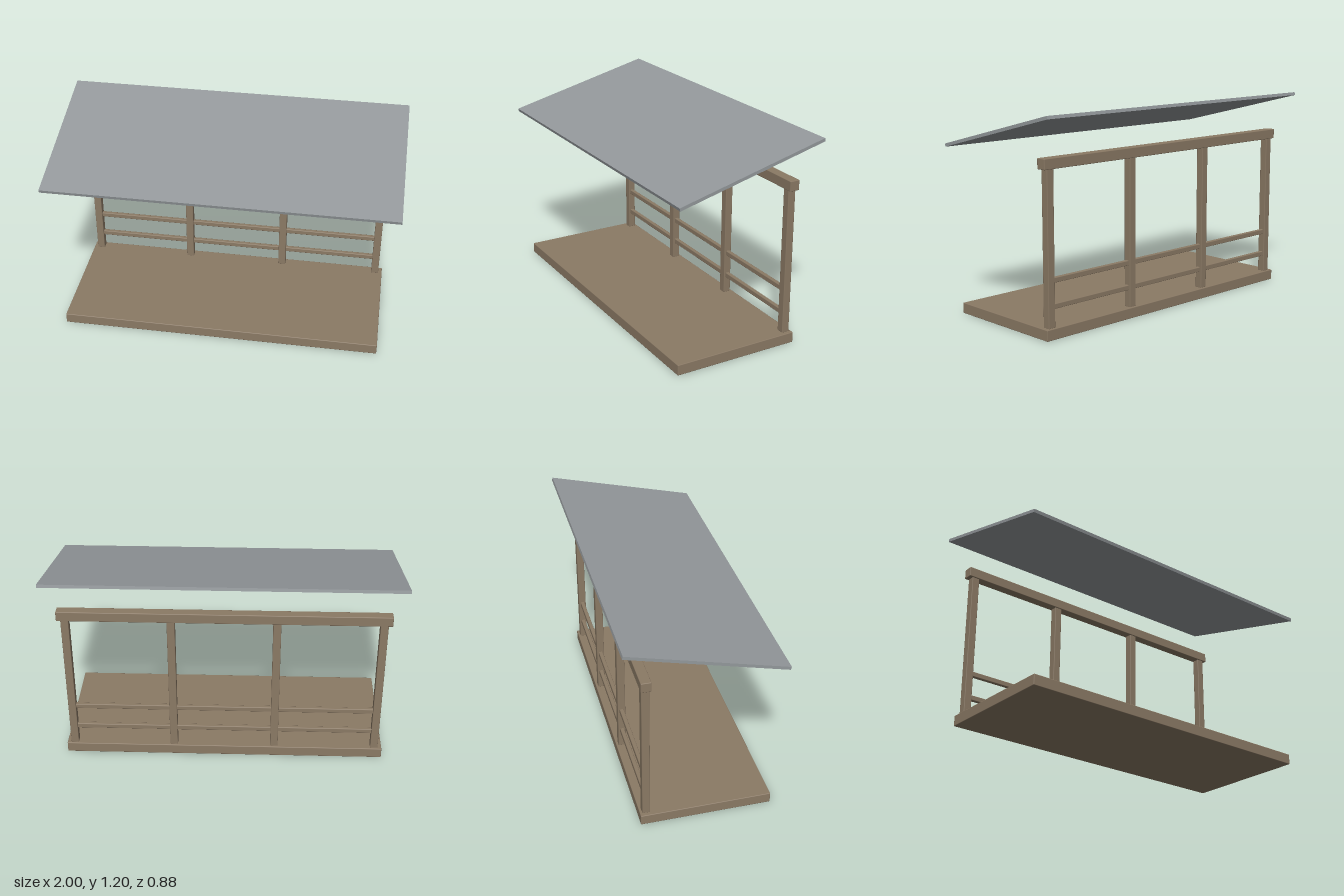
import * as THREE from 'three';
import { RoundedBoxGeometry } from 'three/addons/geometries/RoundedBoxGeometry.js';

export function createModel() {
  const wood = new THREE.MeshStandardMaterial({ name: 'weathered wood', color: 0x8b7a65 });
  const metal = new THREE.MeshStandardMaterial({ name: 'grey roofing', color: 0x94999c });
  const group = new THREE.Group();
  group.name = 'openShelter';

  // timber with slightly eased edges, placed by its centre
  function timber(name, w, h, d, x, y, z) {
    const mesh = new THREE.Mesh(new RoundedBoxGeometry(w, h, d, 1, 0.004), wood);
    mesh.name = name;
    mesh.position.set(x, y, z);
    group.add(mesh);
  }

  const postZ = -0.307;
  const postXs = [-0.89, -0.297, 0.297, 0.89];
  const postW = 0.045;

  timber('deck', 1.87, 0.062, 0.748, 0, 0.031, 0.031);
  timber('topBeam', 1.87, 0.058, 0.058, 0, 0.938, postZ);
  for (const x of postXs) timber('post', postW, 0.852, postW, x, 0.486, postZ);

  // two rails in each bay between the posts
  for (let i = 0; i < postXs.length - 1; i++) {
    const span = postXs[i + 1] - postXs[i] - postW + 0.01;
    const mid = (postXs[i] + postXs[i + 1]) / 2;
    for (const y of [0.174, 0.316]) timber('rail', span, 0.029, 0.024, mid, y, postZ);
  }

  // single-pitch roof sheet, low at the front
  const roof = new THREE.Mesh(new THREE.BoxGeometry(2, 0.018, 0.907), metal);
  roof.name = 'roof';
  roof.position.set(0, 1.081, 0);
  roof.rotation.x = 0.245;
  group.add(roof);

  return group;
}
